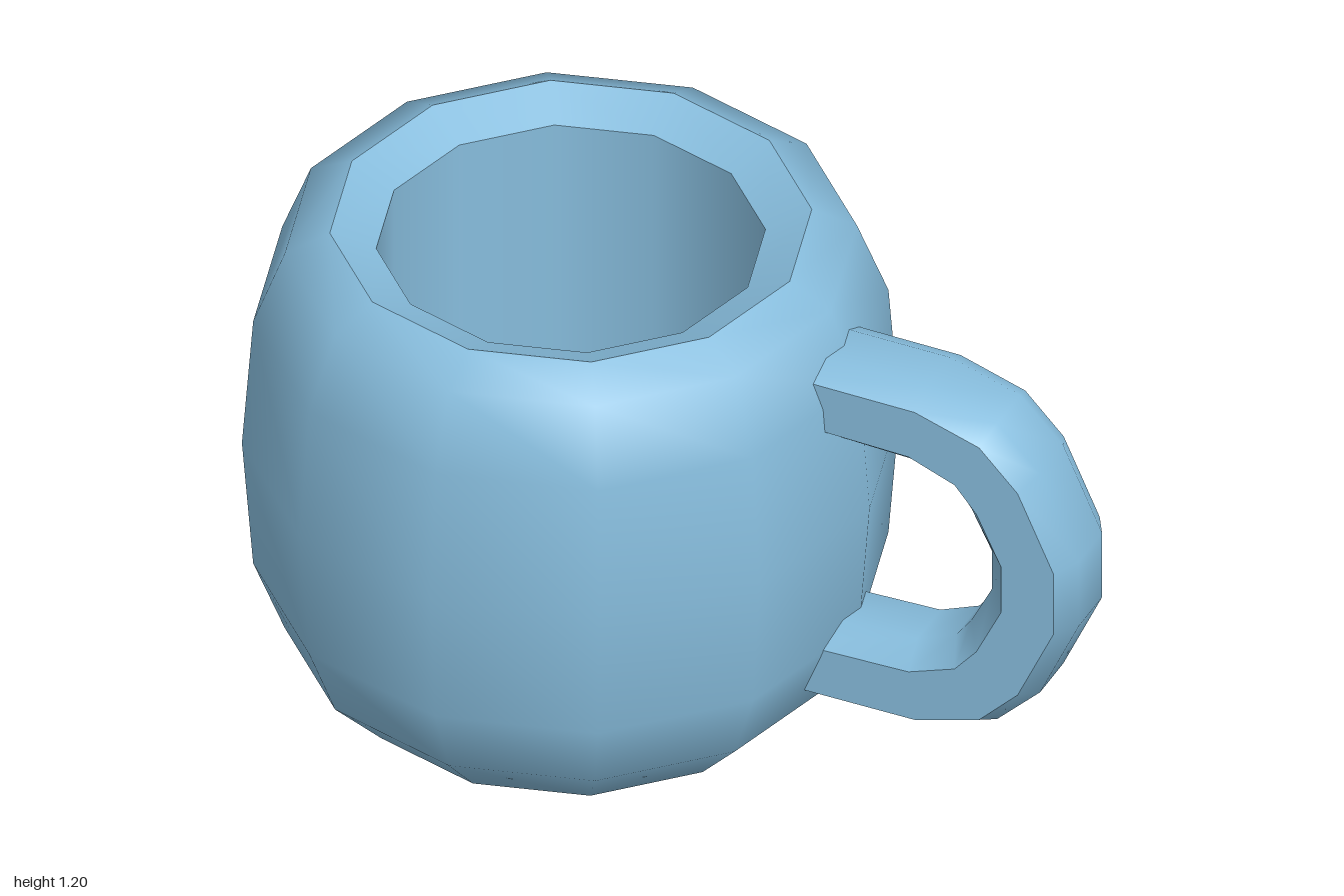
import * as THREE from 'three';

const blue = new THREE.MeshStandardMaterial({ color: 0x87bddd });
blue.name = 'light blue glaze';

const SIDES = 12;
const CUP_X = -0.27;

// Surface of revolution from [radius, height] pairs
function turned(name, profile) {
  const points = profile.map(([r, y]) => new THREE.Vector2(r, y));
  const mesh = new THREE.Mesh(new THREE.LatheGeometry(points, SIDES), blue);
  mesh.name = name;
  mesh.position.x = CUP_X;
  return mesh;
}

// Handle sections: [outer x, outer y, inner x, inner y], upper half, mirrored below
const MID_Y = 0.6125;
const upper = [
  [0.3, 1.065, 0.3, 0.865],
  [0.63, 1.065, 0.605, 0.855],
  [0.8, 1.015, 0.7, 0.815],
  [0.905, 0.91, 0.737, 0.765],
  [1.0, 0.7, 0.787, 0.665],
];
const lower = upper.map(([ox, oy, ix, iy]) => [ox, 2 * MID_Y - oy, ix, 2 * MID_Y - iy]).reverse();
const sections = [...upper, ...lower];

// Smooth strip along the handle; each column is [fraction from outer to inner edge, z]
function handleStrip(name, columns) {
  const positions = [];
  const index = [];
  const n = columns.length;
  sections.forEach(([ox, oy, ix, iy], i) => {
    columns.forEach(([f, z], j) => {
      positions.push(ox + (ix - ox) * f, oy + (iy - oy) * f, z);
      if (i < sections.length - 1 && j < n - 1) {
        const a = i * n + j;
        index.push(a, a + 1, a + n, a + 1, a + n + 1, a + n);
      }
    });
  });
  const geometry = new THREE.BufferGeometry();
  geometry.setAttribute('position', new THREE.Float32BufferAttribute(positions, 3));
  geometry.setIndex(index);
  geometry.computeVertexNormals();
  const mesh = new THREE.Mesh(geometry, blue);
  mesh.name = name;
  return mesh;
}

export function createModel() {
  const mug = new THREE.Group();
  mug.name = 'mug';

  // Cup: rounded outside, bevelled rim, straight inside, flat floor
  mug.add(
    turned('cupOutside', [
      [0, 0], [0.51, 0], [0.635, 0.13], [0.705, 0.31], [0.73, 0.64],
      [0.705, 0.97], [0.635, 1.15], [0.535, 1.2],
    ]),
    turned('rimBevel', [[0.535, 1.2], [0.432, 1.152]]),
    turned('cupInside', [[0.432, 1.152], [0.432, 0.12]]),
    turned('cupFloor', [[0.432, 0.12], [0, 0.12]]),
  );

  // Handle: chamfered outer and inner bands with flat sides
  const W = 0.12, N = 0.06, A = 0.16, B = 0.76;
  const handle = new THREE.Group();
  handle.name = 'handle';
  handle.add(
    handleStrip('handleOuterBand', [[A, -W], [0, -N], [0, N], [A, W]]),
    handleStrip('handleFrontSide', [[A, W], [B, W]]),
    handleStrip('handleInnerBand', [[B, W], [1, N], [1, -N], [B, -W]]),
    handleStrip('handleBackSide', [[B, -W], [A, -W]]),
  );
  mug.add(handle);
  return mug;
}
